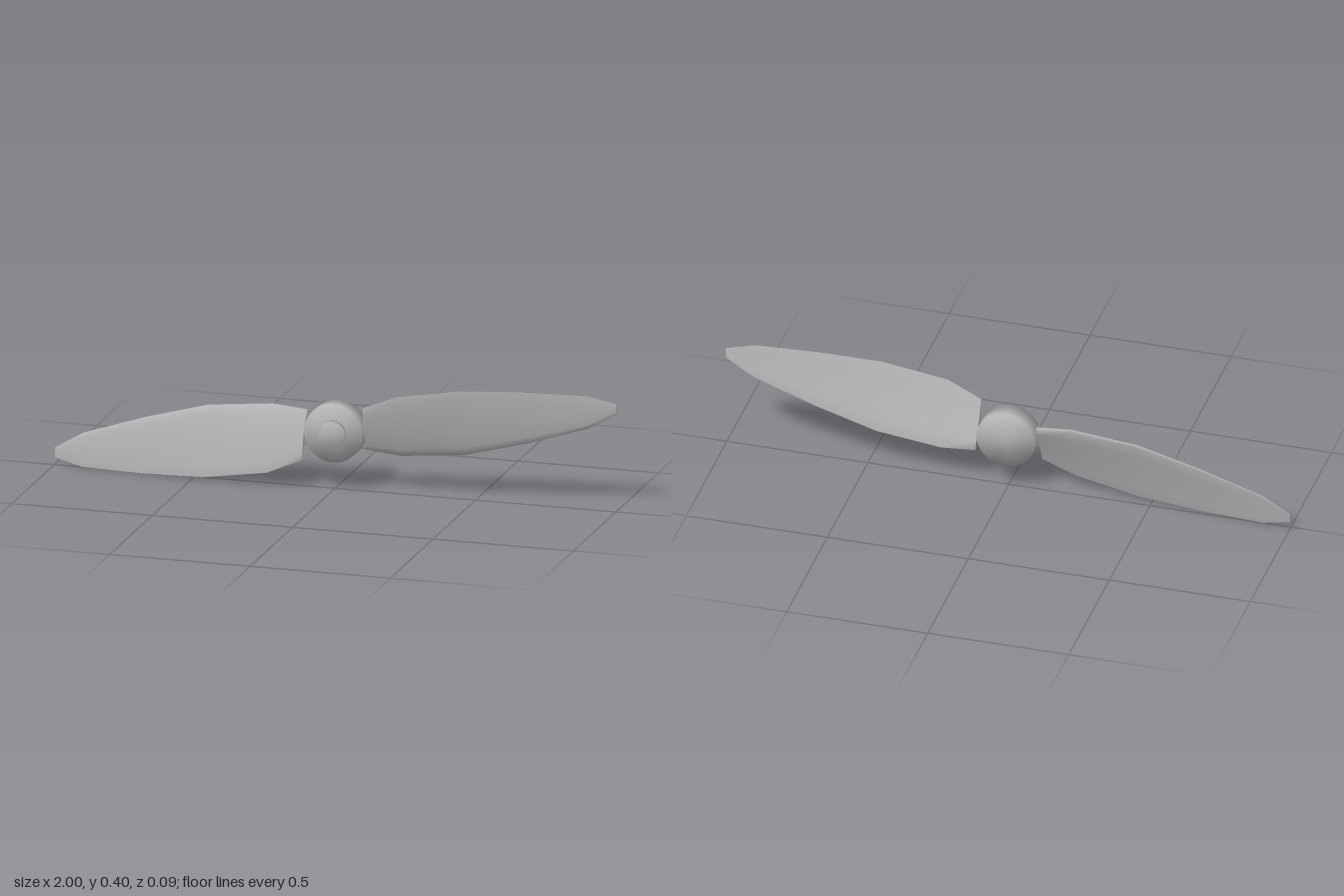
import * as THREE from 'three';
import { mergeVertices } from 'three/addons/utils/BufferGeometryUtils.js';

const AXIS_Y = 0.2015;

// Weld all corners so shading runs softly over the rims
function soften(geometry) {
  geometry.deleteAttribute('uv');
  geometry.deleteAttribute('normal');
  const welded = mergeVertices(geometry, 1e-5);
  welded.computeVertexNormals();
  return welded;
}

// Round disc along z
function disc(name, radius, back, front, material) {
  const geometry = new THREE.CylinderGeometry(radius, radius, front - back, 48);
  geometry.rotateX(Math.PI / 2);
  const mesh = new THREE.Mesh(soften(geometry), material);
  mesh.name = name;
  mesh.position.z = (back + front) / 2;
  return mesh;
}

// Blade stations: x, lower edge y and z, upper edge y and z, thickness
const stations = [
  [0.108, 0.14, -0.042, 0.303, 0.034, 0.026],
  [0.23, 0.129, -0.042, 0.356, 0.042, 0.027],
  [0.46, 0.152, -0.036, 0.394, 0.032, 0.021],
  [0.68, 0.212, -0.028, 0.403, 0.016, 0.015],
  [0.9, 0.285, -0.019, 0.403, 0.0, 0.009],
  [1.0, 0.345, -0.014, 0.379, -0.009, 0.004],
];

// Aerofoil outline: position along the chord, share of thickness to the front
const foil = [
  [0, 0.85], [0, 0.4], [0.015, 0], [0.2, -0.04], [0.4, 0], [0.6, 0.04], [0.8, 0.04],
  [1, 0], [0.99, 0.15], [0.85, 0.42], [0.7, 0.66], [0.5, 0.88], [0.3, 1], [0.12, 1],
];

function bladeGeometry() {
  const n = foil.length;
  const position = [];
  const index = [];
  for (const [x, lowY, lowZ, topY, topZ, thick] of stations) {
    for (const [t, out] of foil) {
      position.push(
        x,
        THREE.MathUtils.lerp(lowY, topY, t) - AXIS_Y,
        THREE.MathUtils.lerp(lowZ, topZ, t) + thick * out
      );
    }
  }
  // Skin between neighbouring stations
  for (let i = 0; i < stations.length - 1; i++) {
    for (let j = 0; j < n; j++) {
      const a = i * n + j;
      const b = i * n + ((j + 1) % n);
      index.push(a, b, a + n, b, b + n, a + n);
    }
  }
  // Root and tip caps
  for (const end of [0, stations.length - 1]) {
    const [x, lowY, lowZ, topY, topZ, thick] = stations[end];
    const centre = position.length / 3;
    position.push(x, (lowY + topY) / 2 - AXIS_Y, (lowZ + topZ) / 2 + thick * 0.45);
    for (let j = 0; j < n; j++) {
      const a = end * n + j;
      const b = end * n + ((j + 1) % n);
      if (end) index.push(centre, a, b);
      else index.push(centre, b, a);
    }
  }
  const geometry = new THREE.BufferGeometry();
  geometry.setAttribute('position', new THREE.Float32BufferAttribute(position, 3));
  geometry.setIndex(index);
  geometry.computeVertexNormals();
  return geometry;
}

export function createModel() {
  const grey = new THREE.MeshStandardMaterial({ color: 0xb4b4b4 });
  grey.name = 'grey';

  const propeller = new THREE.Group();
  propeller.name = 'propeller';
  propeller.position.y = AXIS_Y;

  // Hub and shaft cap
  propeller.add(disc('hub', 0.103, -0.042, 0.027, grey));
  propeller.add(disc('shaftCap', 0.046, 0.027, 0.042, grey));

  // Two blades, half a turn apart
  const geometry = bladeGeometry();
  ['leftBlade', 'rightBlade'].forEach((name, i) => {
    const blade = new THREE.Mesh(geometry, grey);
    blade.name = name;
    blade.rotation.z = i * Math.PI;
    propeller.add(blade);
  });

  const model = new THREE.Group();
  model.name = 'model';
  model.add(propeller);
  return model;
}
